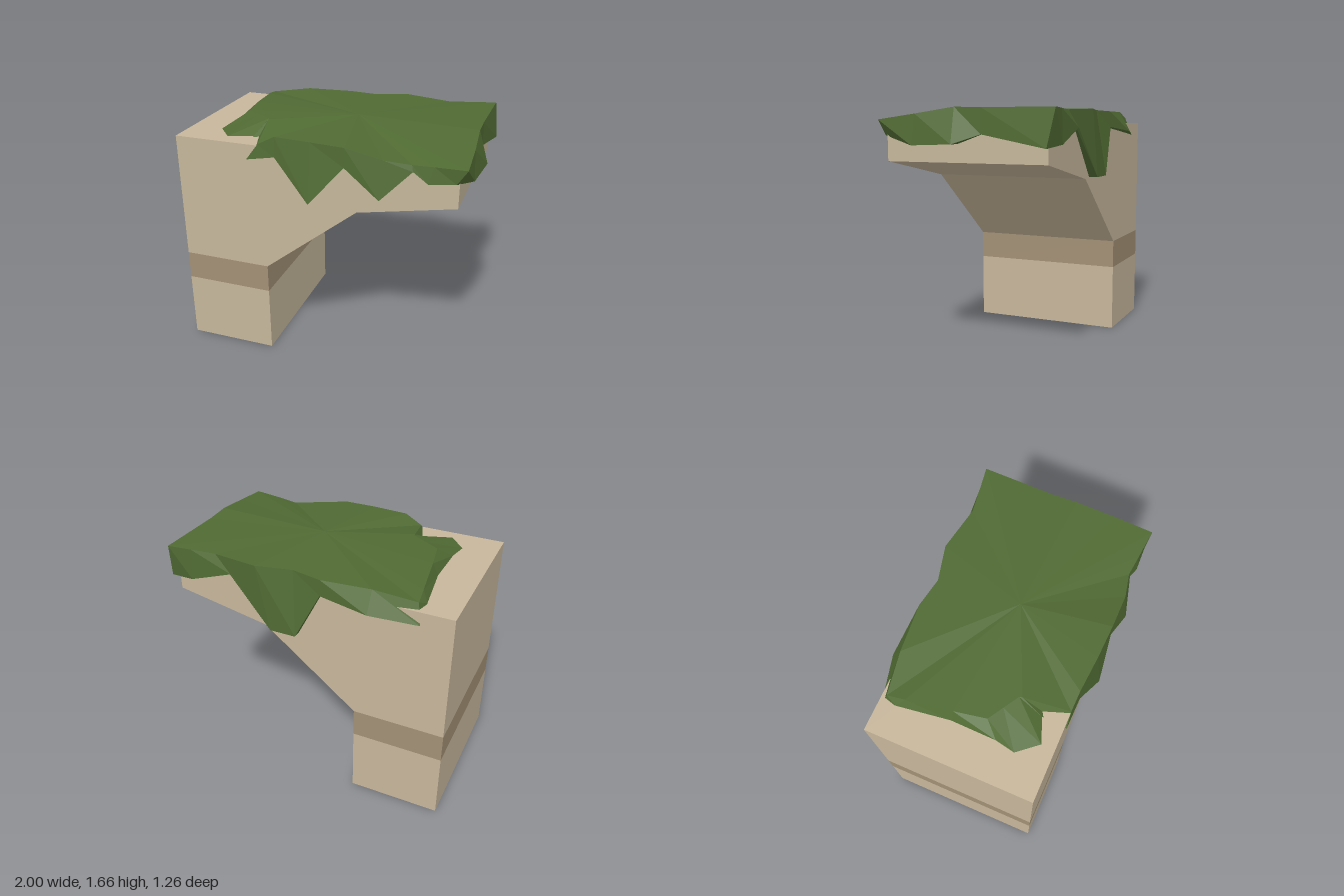
import * as THREE from 'three';

const sand = new THREE.MeshStandardMaterial({ color: 0xc6b69b, flatShading: true });
sand.name = 'sandstone';
const band = new THREE.MeshStandardMaterial({ color: 0xa29075, flatShading: true });
band.name = 'darkSandstone';
const grass = new THREE.MeshStandardMaterial({ color: 0x506a33, flatShading: true, side: THREE.DoubleSide });
grass.name = 'grassGreen';

const BACK = -0.56, FRONT = 0.55, RIGHT = 0.915, TOP = 1.56;

// Extrudes a side profile through the full depth of the ledge
function slab(name, points, material) {
  const shape = new THREE.Shape(points.map(([x, y]) => new THREE.Vector2(x, y)));
  const geometry = new THREE.ExtrudeGeometry(shape, { depth: FRONT - BACK, bevelEnabled: false });
  geometry.translate(0, 0, BACK);
  const mesh = new THREE.Mesh(geometry, material);
  mesh.name = name;
  return mesh;
}

// Upper edge of the turf, running front, right, back, left
const rim = [
  [-0.40, 1.57, 0.55], [-0.28, 1.635, 0.555], [-0.03, 1.635, 0.575], [0.20, 1.63, 0.585],
  [0.45, 1.58, 0.585], [0.62, 1.56, 0.55], [0.76, 1.57, 0.565], [0.965, 1.58, 0.585],
  [0.955, 1.615, 0.32], [0.935, 1.655, 0.05], [0.93, 1.65, -0.13], [0.94, 1.65, -0.615],
  [0.78, 1.645, -0.59], [0.61, 1.64, -0.565], [0.29, 1.65, -0.615], [0.05, 1.645, -0.555],
  [-0.15, 1.64, -0.59], [-0.48, 1.64, -0.56], [-0.76, 1.60, -0.52], [-0.745, 1.62, -0.40],
  [-0.70, 1.64, -0.10], [-0.66, 1.64, 0.11], [-0.56, 1.64, 0.17], [-0.46, 1.64, 0.23],
  [-0.455, 1.64, 0.25],
];

// Ragged lower edge, one point below each rim point
const hem = [
  [-0.48, 1.46, 0.56], [-0.28, 1.50, 0.565], [-0.03, 1.235, 0.63], [0.20, 1.50, 0.59],
  [0.44, 1.33, 0.63], [0.63, 1.52, 0.56], [0.73, 1.46, 0.58], [0.90, 1.48, 0.575],
  [0.97, 1.42, 0.34], [1.00, 1.43, 0.04], [0.935, 1.49, -0.13], [0.97, 1.41, -0.57],
  [0.79, 1.43, -0.60], [0.49, 1.53, -0.59], [0.20, 1.20, -0.62], [0.02, 1.20, -0.62],
  [-0.15, 1.53, -0.595], [-0.48, 1.50, -0.635], [-0.79, 1.47, -0.565], [-0.79, 1.565, -0.45],
  [-0.74, 1.565, -0.10], [-0.745, 1.565, 0.20], [-0.77, 1.565, 0.33], [-0.66, 1.565, 0.46],
  [-0.50, 1.565, 0.40],
];

// Turf: top fan, hanging skirt and a lip folding back to the stone
function turf() {
  const centre = [0.1, 1.658, 0];
  const inner = hem.map(([x, y, z]) => [
    Math.min(x, RIGHT - 0.005), y, THREE.MathUtils.clamp(z, BACK + 0.005, FRONT - 0.005)]);
  const positions = [];
  const quad = (a, b, c, d) => positions.push(...a, ...b, ...c, ...a, ...c, ...d);
  rim.forEach((point, i) => {
    const j = (i + 1) % rim.length;
    positions.push(...centre, ...point, ...rim[j]);
    quad(point, hem[i], hem[j], rim[j]);
    quad(hem[i], inner[i], inner[j], hem[j]);
  });
  const geometry = new THREE.BufferGeometry();
  geometry.setAttribute('position', new THREE.Float32BufferAttribute(positions, 3));
  geometry.computeVertexNormals();
  const mesh = new THREE.Mesh(geometry, grass);
  mesh.name = 'grassCap';
  return mesh;
}

export function createModel() {
  const model = new THREE.Group();
  model.name = 'cliffLedge';
  const rect = (y0, y1) => [[-1, y0], [-0.375, y0], [-0.375, y1], [-1, y1]];
  model.add(
    slab('columnBase', rect(0, 0.475), sand),
    slab('columnBand', rect(0.475, 0.675), band),
    // Overhanging upper block
    slab('overhang', [[-1, 0.675], [-0.375, 0.675], [0.27, 1.19], [RIGHT, 1.315], [RIGHT, TOP], [-1, TOP]], sand),
    turf(),
  );
  return model;
}
